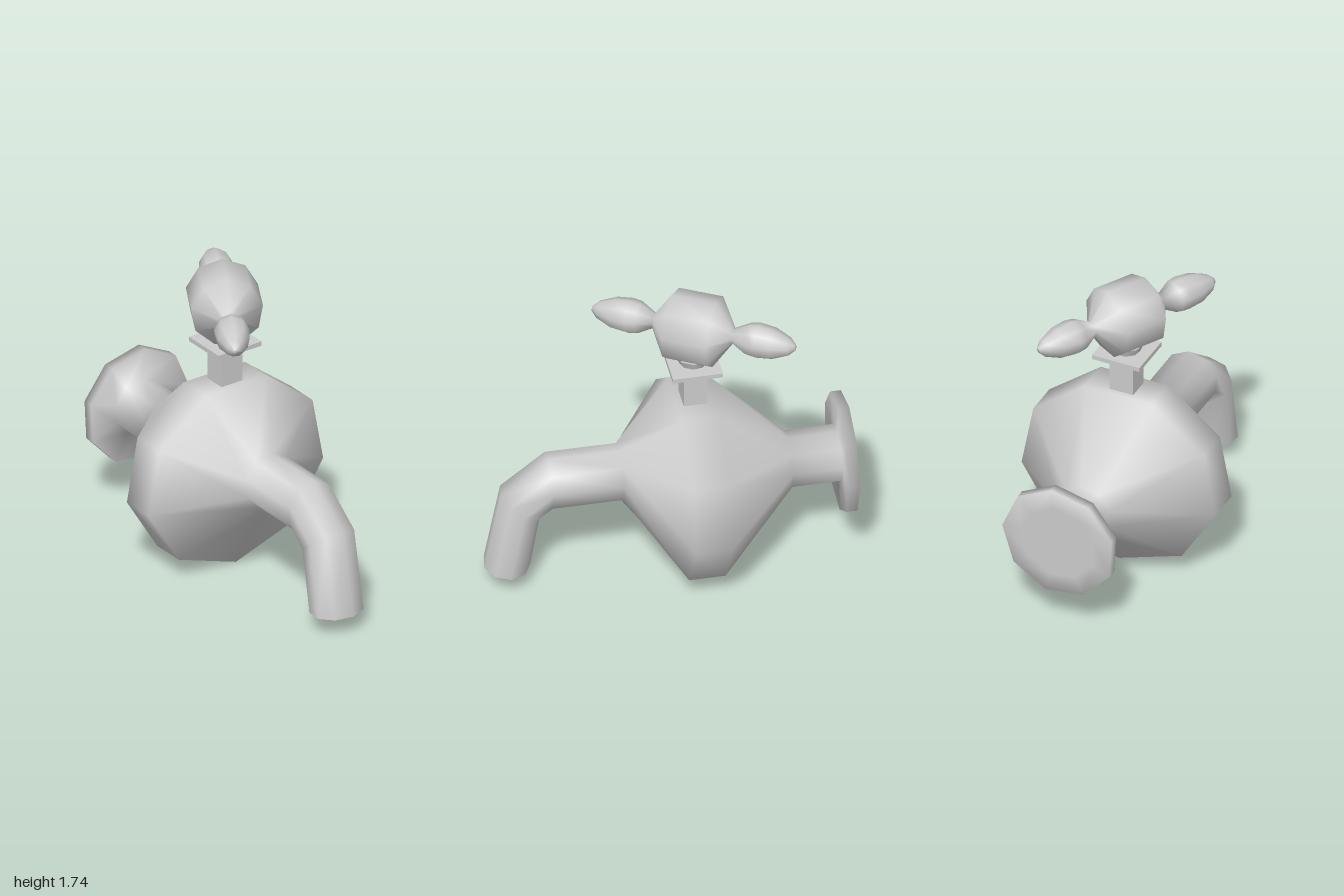
import * as THREE from 'three';

const material = new THREE.MeshStandardMaterial({ color: 0xcccccc, side: THREE.DoubleSide });
const V = (x, y, z) => new THREE.Vector3(x, y, z);

// Skin a row of elliptical rings {c: centre, u, v: half axes, phase: degrees}
function loft(name, rings, sides, capStart, capEnd) {
  const pos = [], index = [];
  for (const { c, u, v, phase } of rings) {
    for (let j = 0; j < sides; j++) {
      const a = THREE.MathUtils.degToRad(phase) + (j / sides) * Math.PI * 2;
      const p = c.clone().addScaledVector(u, Math.cos(a)).addScaledVector(v, Math.sin(a));
      pos.push(p.x, p.y, p.z);
    }
  }
  for (let i = 0; i < rings.length - 1; i++) {
    for (let j = 0; j < sides; j++) {
      const k = (j + 1) % sides;
      const a = i * sides + j, b = i * sides + k;
      index.push(a, b, b + sides, a, b + sides, a + sides);
    }
  }
  const last = (rings.length - 1) * sides;
  for (let j = 1; j < sides - 1; j++) {
    if (capStart) index.push(0, j + 1, j);
    if (capEnd) index.push(last, last + j, last + j + 1);
  }
  const geometry = new THREE.BufferGeometry();
  geometry.setAttribute('position', new THREE.Float32BufferAttribute(pos, 3));
  geometry.setIndex(index);
  geometry.computeVertexNormals();
  const mesh = new THREE.Mesh(geometry, material);
  mesh.name = name;
  return mesh;
}

function box(name, w, h, d, y, z) {
  const mesh = new THREE.Mesh(new THREE.BoxGeometry(w, h, d), material);
  mesh.position.set(0, y, z);
  mesh.name = name;
  return mesh;
}

export function createModel() {
  const group = new THREE.Group();

  // Wall flange, inlet pipe, faceted body and bent hollow spout, back to front
  const ring = (y, z, rx, ry = rx, phase = 3) => ({ c: V(0, y, z), u: V(rx, 0, 0), v: V(0, ry, 0), phase });
  group.add(loft('bodyAndSpout', [
    ring(0.573, -1, 0.22),
    ring(0.573, -1, 0.334),
    ring(0.573, -0.94, 0.334),
    ring(0.573, -0.94, 0.158),
    ring(0.573, -0.67, 0.158),
    ring(0.552, -0.25, 0.589, 0.552, -10),
    ring(0.552, -0.05, 0.589, 0.552, -10),
    ring(0.627, 0.26, 0.158),
    ring(0.627, 0.65, 0.158),
    { c: V(0, 0.503, 0.805), u: V(0.158, 0, 0), v: V(0, 0.079, 0.107), phase: 3 },
    { c: V(0, 0.11, 0.877), u: V(0.158, 0, 0), v: V(0, 0, 0.127), phase: 3 },
  ], 9, true, false));

  // Square stem and plate under the handle
  group.add(box('stem', 0.14, 0.27, 0.13, 1.16, -0.15));
  group.add(box('stemPlate', 0.285, 0.026, 0.275, 1.302, -0.148));

  // Collar between the plate and the handle
  const collar = new THREE.Mesh(new THREE.CylinderGeometry(0.095, 0.075, 0.05, 9), material);
  collar.position.set(0, 1.335, -0.15);
  collar.name = 'handleCollar';
  group.add(collar);

  // Tap handle: rounded hub with a tapered grip at each end
  const half = [[0.125, 0.198], [0.225, 0.043], [0.31, 0.09], [0.36, 0.098], [0.45, 0.088], [0.54, 0.05], [0.575, 0.015]];
  const profile = [...half.map(([d, r]) => [-d, r]).reverse(), ...half];
  const handle = loft('handle', profile.map(([d, r]) => ring(0, d, r, r, 10)), 9, true, true);
  handle.position.set(0, 1.537, -0.155);
  handle.rotation.y = -THREE.MathUtils.degToRad(29.5);
  group.add(handle);

  return group;
}
